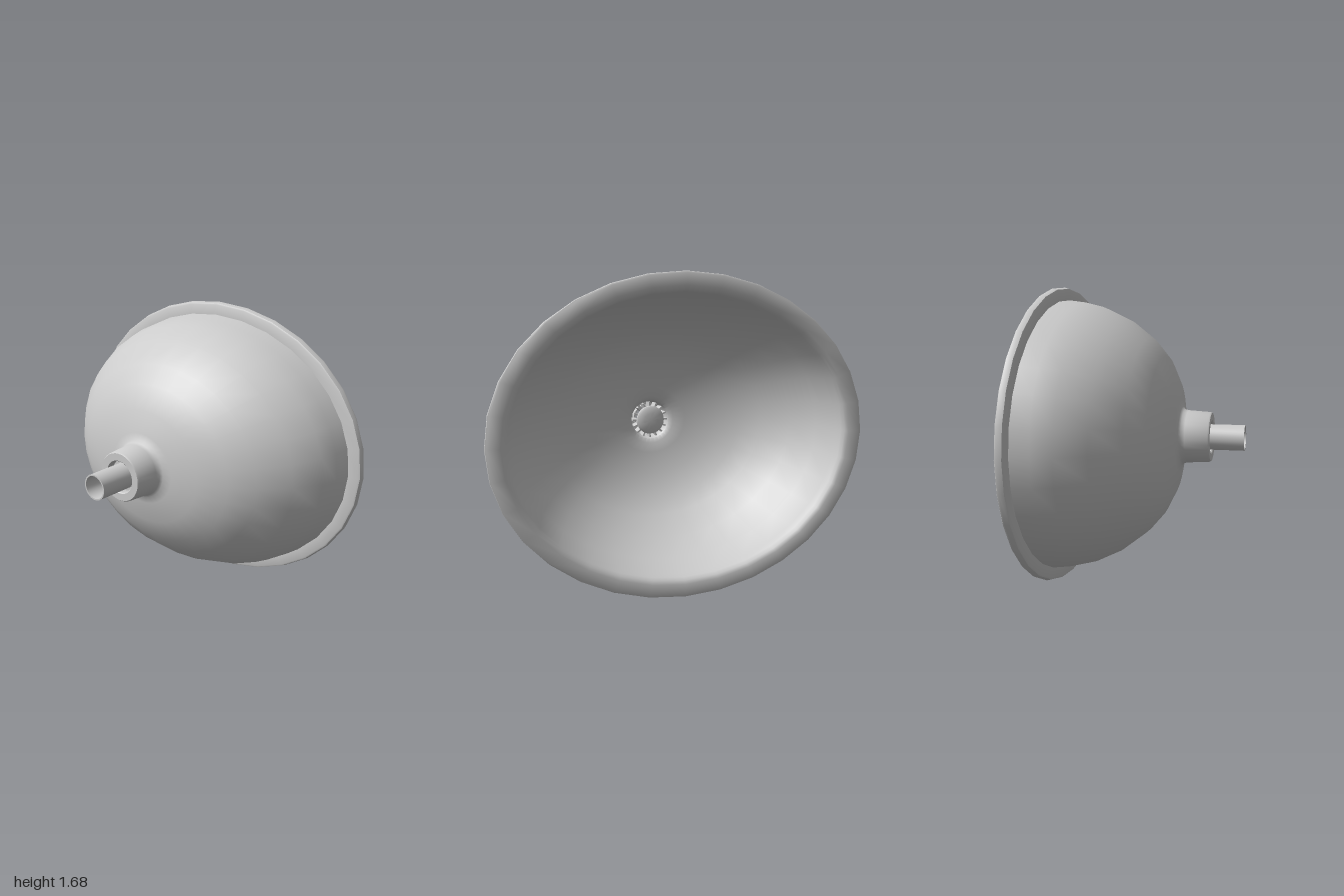
import * as THREE from 'three';
import { toCreasedNormals } from 'three/addons/utils/BufferGeometryUtils.js';

const material = new THREE.MeshStandardMaterial({ color: 0xcccccc, side: THREE.DoubleSide });

// Loft elliptical rings [rx, ry, z] along z into one skin.
function loft(rings, sides = 32, crease = 0.75) {
  const positions = [], index = [];
  for (const [rx, ry, z] of rings) {
    for (let i = 0; i < sides; i++) {
      const t = (i / sides) * Math.PI * 2;
      positions.push(rx * Math.cos(t), ry * Math.sin(t), z);
    }
  }
  for (let j = 0; j < rings.length - 1; j++) {
    for (let i = 0; i < sides; i++) {
      const k = (i + 1) % sides;
      const a = j * sides + i, b = j * sides + k, c = b + sides, d = a + sides;
      if (rings[j][0] > 0) index.push(a, b, c);
      if (rings[j + 1][0] > 0) index.push(a, c, d);
      else if (rings[j][0] > 0) continue;
    }
  }
  const geometry = new THREE.BufferGeometry();
  geometry.setAttribute('position', new THREE.Float32BufferAttribute(positions, 3));
  geometry.setIndex(index);
  return toCreasedNormals(geometry, crease);
}

const round = (profile) => profile.map(([r, z]) => [r, r, z]);

export function createModel() {
  const model = new THREE.Group();
  model.name = 'ovalBasin';
  const body = new THREE.Group();
  body.name = 'basinBody';
  body.position.y = 0.84;
  model.add(body);

  const add = (name, geometry, parent = body) => {
    const mesh = new THREE.Mesh(geometry, material);
    mesh.name = name;
    parent.add(mesh);
    return mesh;
  };

  // Bowl: drain well, inner wall, flat rim, outer wall, outlet collar
  add('bowl', loft([
    ...round([[0.07, 0.3], [0.095, 0.3], [0.105, 0.19], [0.115, 0.16], [0.14, 0.146]]),
    [0.21, 0.195, 0.137],
    [0.36, 0.315, 0.106],
    [0.51, 0.44, 0.045],
    [0.63, 0.53, -0.03],
    [0.76, 0.63, -0.16],
    [0.85, 0.705, -0.3],
    [0.89, 0.735, -0.46],
    [0.895, 0.74, -0.5],
    [0.905, 0.75, -0.52],
    [0.925, 0.77, -0.53],
    [0.99, 0.83, -0.53],
    [0.998, 0.838, -0.525],
    [1.0, 0.84, -0.515],
    [0.993, 0.833, -0.492],
    [0.985, 0.825, -0.488],
    [0.925, 0.768, -0.488],
    [0.91, 0.755, -0.39],
    [0.88, 0.73, -0.29],
    [0.79, 0.66, -0.145],
    [0.655, 0.555, -0.01],
    [0.53, 0.455, 0.075],
    [0.37, 0.33, 0.137],
    [0.22, 0.205, 0.167],
    ...round([[0.168, 0.176], [0.154, 0.188], [0.149, 0.21], [0.141, 0.335],
      [0.136, 0.343], [0.095, 0.343], [0.09, 0.338], [0.09, 0.3], [0.07, 0.3]]),
  ]));

  // Hollow outlet pipe
  add('outletPipe', loft(round([
    [0.064, 0.53], [0.064, 0.26], [0.072, 0.26], [0.072, 0.53], [0.064, 0.53],
  ])));

  // Drain stopper with domed cap and stem
  const drain = new THREE.Group();
  drain.name = 'drain';
  body.add(drain);
  add('stopperCap', loft(round([
    [0, 0.128], [0.04, 0.13], [0.07, 0.135], [0.082, 0.143], [0.084, 0.152],
    [0.078, 0.16], [0.025, 0.165], [0, 0.165],
  ]), 24), drain);
  add('stopperStem', loft(round([
    [0.025, 0.16], [0.025, 0.29], [0.02, 0.3], [0, 0.3],
  ]), 16), drain);

  // Three spokes holding the stem
  for (let i = 0; i < 3; i++) {
    const angle = Math.PI / 3 + (i * Math.PI * 2) / 3;
    const spoke = add('spoke', new THREE.BoxGeometry(0.075, 0.01, 0.04), drain);
    spoke.position.set(0.058 * Math.cos(angle), 0.058 * Math.sin(angle), 0.27);
    spoke.rotation.z = angle;
  }

  // Strainer fins between cap and well
  for (let i = 0; i < 16; i++) {
    const angle = (i / 16) * Math.PI * 2;
    const fin = add('strainerFin', new THREE.BoxGeometry(0.032, 0.009, 0.07), drain);
    fin.position.set(0.089 * Math.cos(angle), 0.089 * Math.sin(angle), 0.192);
    fin.rotation.z = angle;
  }

  return model;
}
